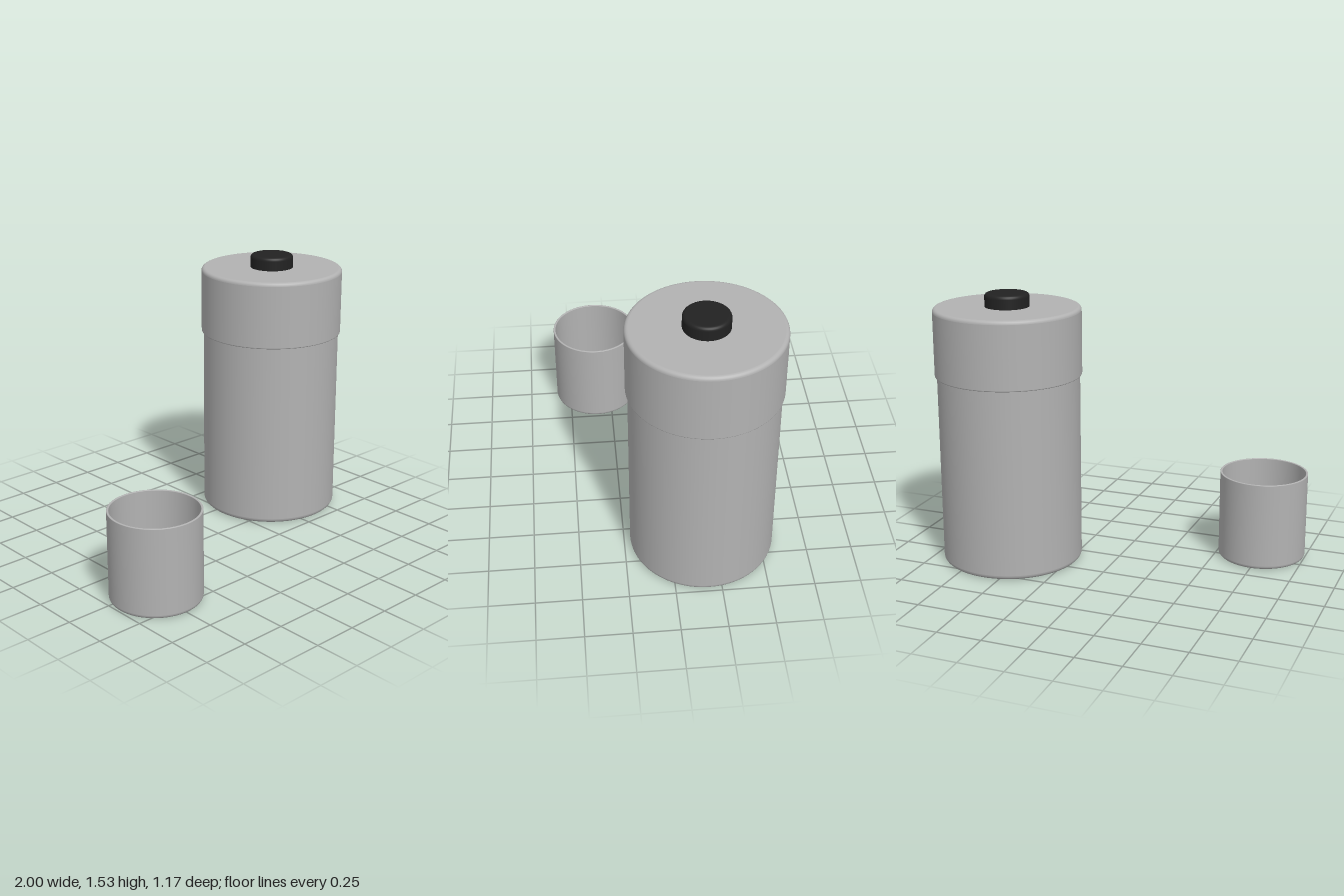
import * as THREE from 'three';

const steel = new THREE.MeshStandardMaterial({ color: 0xb2b2b2 });
steel.name = 'brushed grey';
const black = new THREE.MeshStandardMaterial({ color: 0x222222 });
black.name = 'black';

// Turns corners [radius, y, fillet] into a lathe with rounded edges.
function turned(name, corners, material) {
  const pts = [];
  const v = corners.map(([x, y]) => new THREE.Vector2(x, y));
  corners.forEach(([, , fillet], i) => {
    if (!fillet) {
      pts.push(v[i]);
      return;
    }
    const toPrev = v[i - 1].clone().sub(v[i]).normalize();
    const toNext = v[i + 1].clone().sub(v[i]).normalize();
    const along = (dir, d) => v[i].clone().addScaledVector(dir, d);
    const centre = along(toPrev, fillet).addScaledVector(toNext, fillet);
    // guard points keep the neighbouring walls straight in shading
    pts.push(along(toPrev, fillet * 1.05));
    for (let k = 0; k <= 5; k++) {
      const a = (k / 5) * Math.PI / 2;
      pts.push(centre.clone()
        .addScaledVector(toNext, -fillet * Math.cos(a))
        .addScaledVector(toPrev, -fillet * Math.sin(a)));
    }
    pts.push(along(toNext, fillet * 1.05));
  });
  const mesh = new THREE.Mesh(new THREE.LatheGeometry(pts, 96), material);
  mesh.name = name;
  return mesh;
}

// Closed solid cylinder with rounded bottom and top edges.
function drum(name, r, y0, y1, f0, f1, material) {
  return turned(name, [[0, y0], [r, y0, f0], [r, y1, f1], [0, y1]], material);
}

export function createModel() {
  const model = new THREE.Group();
  model.name = 'canisterAndCup';

  // Tall canister with its lid and knob
  const canister = new THREE.Group();
  canister.name = 'canister';
  canister.position.set(0.59, 0, -0.18);
  canister.add(
    drum('body', 0.396, 0, 1.1, 0.025, 0.005, steel),
    drum('lid', 0.408, 1.075, 1.455, 0.006, 0.02, steel),
    drum('knob', 0.123, 1.45, 1.53, 0.004, 0.018, black)
  );

  // Open cup: outer wall, thin rim, inner wall and floor
  const cup = turned('cup', [
    [0, 0], [0.248, 0, 0.02], [0.248, 0.5, 0.003],
    [0.236, 0.5, 0.003], [0.236, 0.015, 0.015], [0, 0.015]
  ], steel);
  cup.position.set(-0.752, 0, 0.337);

  model.add(canister, cup);
  return model;
}
